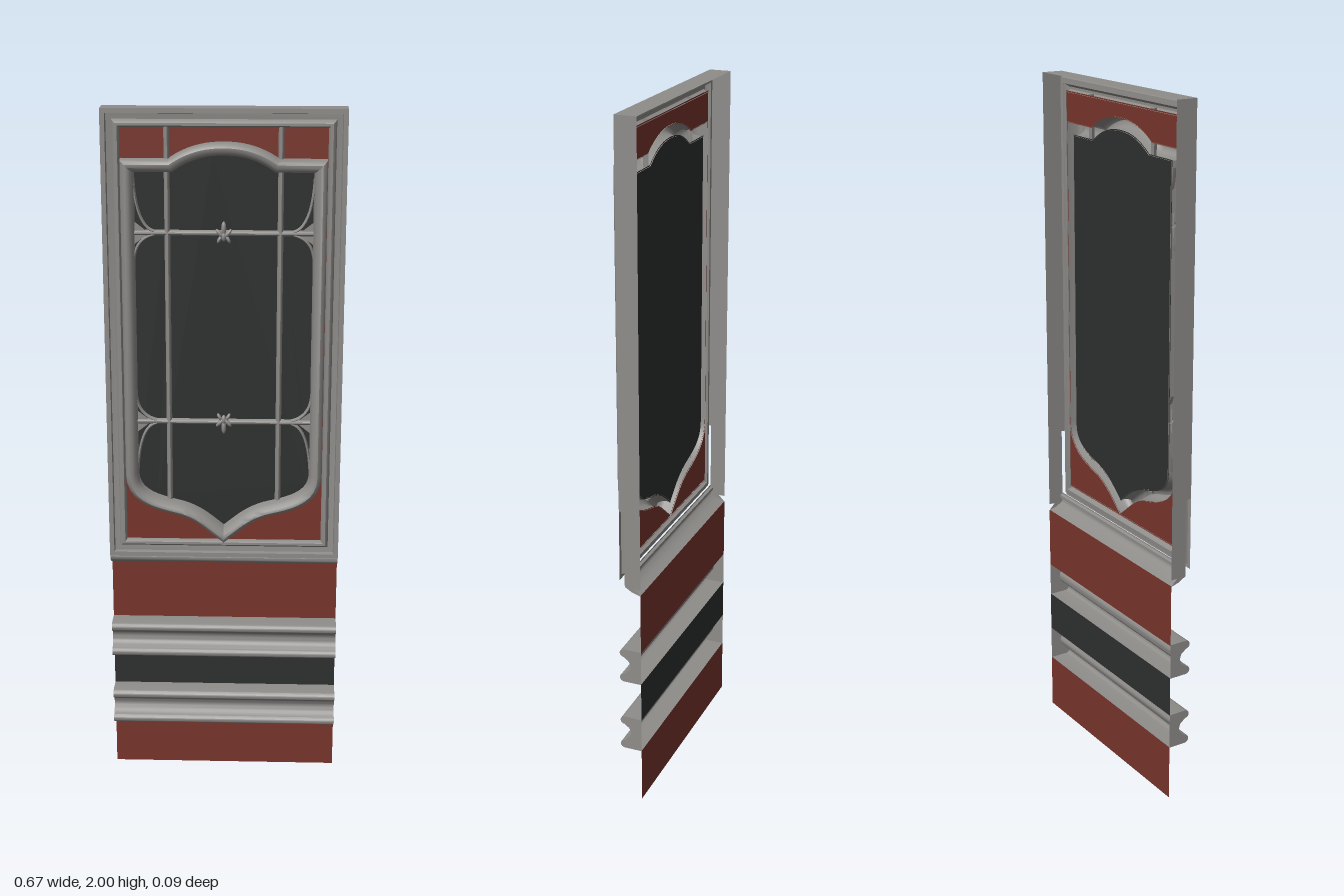
import * as THREE from 'three';
import { toCreasedNormals } from 'three/addons/utils/BufferGeometryUtils.js';

const paint = (name, color) => {
  const m = new THREE.MeshStandardMaterial({ color, side: THREE.DoubleSide });
  m.name = name;
  return m;
};
const V = (x, y) => new THREE.Vector2(x, y);
const W = 0.333, BACK = -0.047;

// Shift a path sideways (to its left) with mitred corners
function offsetPath(path, d, closed) {
  const n = path.length;
  const normal = (a, b) => {
    const t = b.clone().sub(a).normalize();
    return V(-t.y, t.x);
  };
  return path.map((p, i) => {
    const hasPrev = closed || i > 0, hasNext = closed || i < n - 1;
    const n1 = hasPrev ? normal(path[(i + n - 1) % n], p) : normal(p, path[i + 1]);
    const n2 = hasNext ? normal(p, path[(i + 1) % n]) : n1;
    const k = d / (1 + n1.dot(n2));
    return V(p.x + (n1.x + n2.x) * k, p.y + (n1.y + n2.y) * k);
  });
}

// Sweep an open profile of [offset, z] along a flat path
function sweep(path, profile, closed) {
  const n = path.length, pos = [], idx = [];
  for (const [o, z] of profile)
    for (const p of offsetPath(path, o, closed)) pos.push(p.x, p.y, z);
  for (let r = 0; r < profile.length - 1; r++)
    for (let i = 0; i < (closed ? n : n - 1); i++) {
      const j = (i + 1) % n, a = r * n + i, b = r * n + j;
      idx.push(a, b, a + n, b, b + n, a + n);
    }
  const g = new THREE.BufferGeometry();
  g.setAttribute('position', new THREE.Float32BufferAttribute(pos, 3));
  g.setIndex(idx);
  return toCreasedNormals(g, 0.7);
}

export function createModel() {
  const root = new THREE.Group();
  root.name = 'wallPanel';
  const grey = paint('stoneGrey', 0x8f8d8a);
  const red = paint('brickRed', 0x78352b);
  const dark = paint('charcoal', 0x2e3030);

  const add = (name, geo, mat, x = 0, y = 0, z = 0, parent = root) => {
    const m = new THREE.Mesh(geo, mat);
    m.name = name;
    m.position.set(x, y, z);
    parent.add(m);
    return m;
  };
  const panel = (name, y0, y1, mat) =>
    add(name, new THREE.PlaneGeometry(2 * W, y1 - y0), mat, 0, (y0 + y1) / 2, BACK);

  // Flat lower panels
  panel('basePanel', 0, 0.165, red);
  panel('middleBand', 0.268, 0.387, dark);
  panel('upperBand', 0.488, 0.672, red);

  // Horizontal strip moulding with closed ends
  function strip(name, profile, y) {
    const g = new THREE.Group();
    g.name = name;
    root.add(g);
    add(name + 'Face', sweep([V(-W, y), V(W, y)], profile, false), grey, 0, 0, 0, g);
    const end = new THREE.Shape(profile.map(([o, z]) => V(-z, o)));
    for (const s of [-1, 1])
      add(name + 'End', new THREE.ShapeGeometry(end), grey, s * W, y, 0, g).rotation.y = Math.PI / 2;
  }

  // Rails: two round noses with a hollow between
  const nose = [[0, BACK], [0, 0.006]];
  for (let i = 1; i <= 8; i++) {
    const a = -Math.PI / 2 + (i * Math.PI) / 8;
    nose.push([0.0125 + 0.0125 * Math.sin(a), 0.006 + 0.0125 * Math.cos(a)]);
  }
  for (let i = 1; i <= 5; i++) {
    const a = (i * Math.PI) / 10;
    nose.push([0.03 + 0.0225 * (1 - Math.cos(a)), 0.004 - 0.018 * Math.sin(a)]);
  }
  const rail = [...nose, ...nose.slice(0, -1).reverse().map(([o, z]) => [0.105 - o, z])];
  strip('lowerRail', rail, 0.164);
  strip('upperRail', rail, 0.386);

  // Sill under the frame
  strip('sill', [[0, BACK], [0.008, -0.022], [0.019, -0.004], [0.024, 0], [0.032, 0],
    [0.035, -0.008], [0.043, -0.008], [0.046, 0], [0.05, 0]], 0.67);

  // Stepped face of the outer frame
  const rect = [V(-W, 0.71), V(W, 0.71), V(W, 2), V(-W, 2)];
  add('frameFace', sweep(rect, [[0, 0.015], [0.013, 0.015], [0.015, 0.002], [0.03, 0],
    [0.034, 0.01], [0.039, 0.015], [0.046, 0.015], [0.05, 0.009], [0.052, -0.002]], true), grey);

  // Frame side walls, notched at the lower front, and the top
  const wall = new THREE.Shape([V(-BACK, 0.69), V(-BACK, 2), V(-0.015, 2),
    V(-0.015, 0.92), V(0, 0.92), V(0, 0.69)]);
  for (const s of [-1, 1])
    add(s > 0 ? 'leftWall' : 'rightWall', new THREE.ShapeGeometry(wall), grey, s * W).rotation.y = Math.PI / 2;
  add('topWall', new THREE.PlaneGeometry(2 * W, 0.062), grey, 0, 2, -0.016).rotation.x = -Math.PI / 2;

  // Window outline: pointed ogee foot, straight sides, arched head
  const half = new THREE.Path();
  half.moveTo(0, 0.785);
  half.bezierCurveTo(0.04, 0.815, 0.065, 0.845, 0.12, 0.862);
  half.bezierCurveTo(0.18, 0.878, 0.262, 0.89, 0.262, 0.97);
  half.lineTo(0.262, 1.848);
  half.lineTo(0.145, 1.848);
  half.bezierCurveTo(0.1, 1.88, 0.055, 1.893, 0, 1.893);
  const right = half.getPoints(10);
  const outline = [...right, ...right.slice(1, -1).reverse().map(p => V(-p.x, p.y))];
  add('windowMoulding', sweep(outline, [[-0.018, -0.002], [-0.018, 0.03], [-0.014, 0.04],
    [-0.006, 0.046], [0.003, 0.045], [0.011, 0.037], [0.016, 0.024], [0.018, -0.002]], true), grey);

  // Red surround and dark pane
  const surround = new THREE.Shape([V(-0.284, 0.758), V(0.284, 0.758), V(0.284, 1.952), V(-0.284, 1.952)]);
  surround.holes.push(new THREE.Path(offsetPath(outline, -0.016, true)));
  add('surround', new THREE.ShapeGeometry(surround), red);
  add('pane', new THREE.ShapeGeometry(new THREE.Shape(offsetPath(outline, 0.015, true))), dark);

  // Glazing bars
  const barProfile = [[-0.008, 0], [-0.006, 0.008], [-0.002, 0.012], [0.002, 0.012], [0.006, 0.008], [0.008, 0]];
  const bar = (name, pts, k = 1) =>
    add(name, sweep(pts, barProfile.map(([o, z]) => [o * k, z]), false), grey);
  for (const s of [-1, 1]) bar('uprightBar', [V(s * 0.155, 0.88), V(s * 0.155, 1.955)]);

  for (const [y, dir] of [[1.663, 1], [1.122, -1]]) {
    bar('crossBar', [V(-0.25, y), V(0.25, y)]);

    // Curved corner pieces where the cross bar meets the sides
    for (const s of [-1, 1]) {
      for (const [v, rise] of [[dir, 0.15], [-dir, 0.07]]) {
        const curve = new THREE.QuadraticBezierCurve(
          V(s * 0.247, y + v * rise), V(s * 0.24, y + v * 0.015), V(s * 0.19, y + v * 0.004));
        bar('cornerCurve', curve.getPoints(10), 0.5);
      }
      add('cornerFill', new THREE.ShapeGeometry(new THREE.Shape(
        [V(s * 0.25, y - 0.035), V(s * 0.205, y), V(s * 0.25, y + 0.035)])), grey, 0, 0, 0.006);
    }

    // Small leaf ornament at the centre
    const leaf = new THREE.Group();
    leaf.name = 'ornament';
    leaf.position.set(0, y, 0.01);
    leaf.rotation.z = dir > 0 ? 0 : Math.PI;
    root.add(leaf);
    const petal = new THREE.SphereGeometry(1, 10, 8);
    for (const [x, py, a, rx, ry] of [[0, 0.014, 0, 0.007, 0.02], [0.011, 0, -0.7, 0.006, 0.016],
      [-0.011, 0, 0.7, 0.006, 0.016], [0.012, -0.016, 0.5, 0.005, 0.012],
      [-0.012, -0.016, -0.5, 0.005, 0.012], [0, -0.008, 0, 0.007, 0.014]]) {
      const m = add('petal', petal, grey, x, py, 0, leaf);
      m.rotation.z = a;
      m.scale.set(rx, ry, 0.009);
    }
  }
  return root;
}
